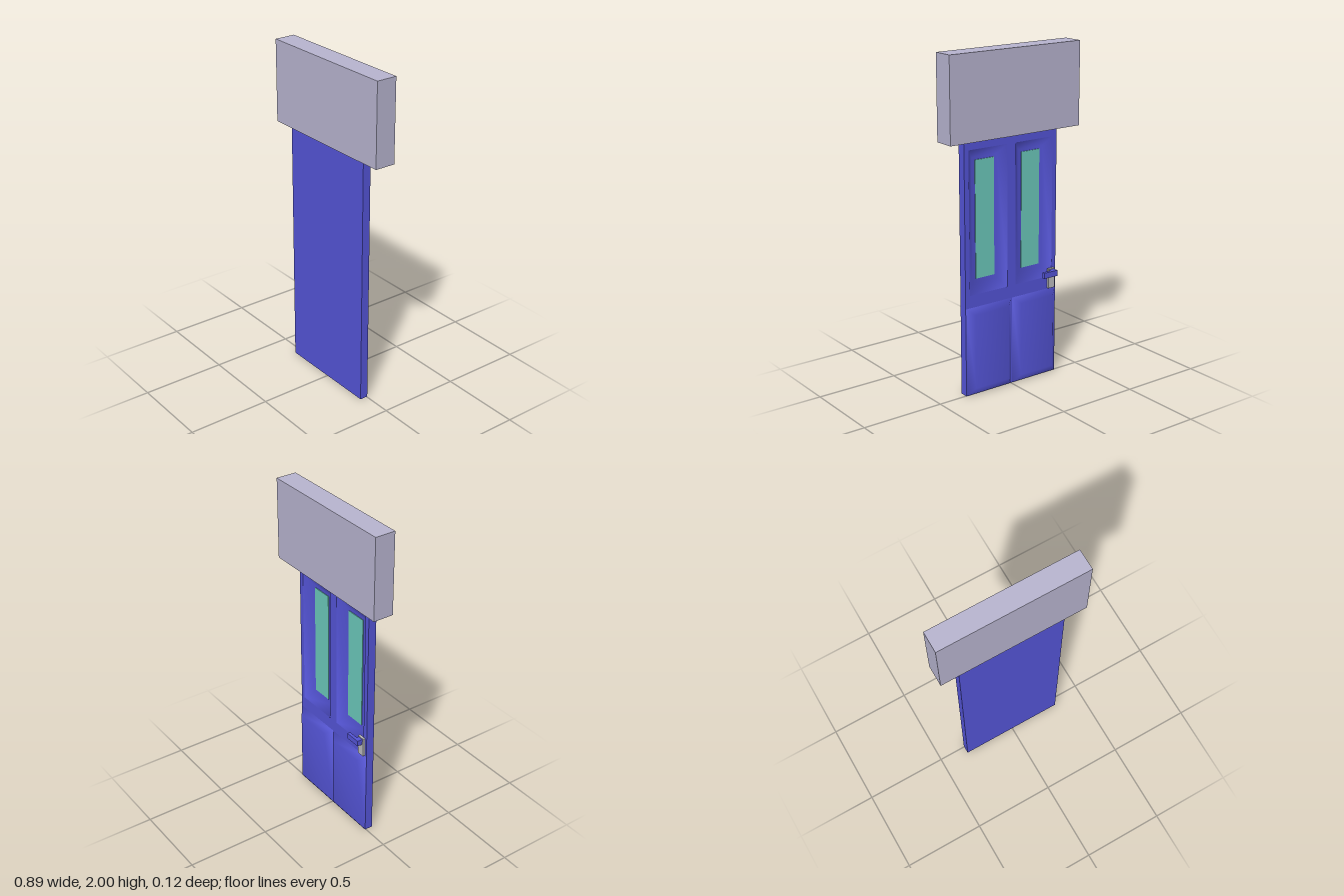
import * as THREE from 'three';

const material = (name, color) => {
  const m = new THREE.MeshStandardMaterial({ color });
  m.name = name;
  return m;
};

// Sloped border from one rectangle to another plus a flat cap, facing -z.
// Rectangles are [x0, x1, y0, y1].
function borderedPanel(outer, outerZ, inner, innerZ) {
  const corners = ([x0, x1, y0, y1], z) => [x0, y0, z, x0, y1, z, x1, y1, z, x1, y0, z];
  const index = [4, 5, 6, 4, 6, 7];
  for (let i = 0; i < 4; i++) {
    const j = (i + 1) % 4;
    index.push(i, j, j + 4, i, j + 4, i + 4);
  }
  const g = new THREE.BufferGeometry();
  g.setAttribute('position',
    new THREE.Float32BufferAttribute([...corners(outer, outerZ), ...corners(inner, innerZ)], 3));
  g.setIndex(index);
  g.computeVertexNormals();
  return g;
}

function rectangle(PathType, [x0, x1, y0, y1]) {
  const p = new PathType();
  p.moveTo(x0, y0);
  p.lineTo(x1, y0);
  p.lineTo(x1, y1);
  p.lineTo(x0, y1);
  p.closePath();
  return p;
}

export function createModel() {
  const root = new THREE.Group();
  root.name = 'doorWithHeader';
  const blue = material('blue paint', 0x5555d8);
  const grey = material('pale lilac grey', 0xb8b5d0);
  const teal = material('teal glass', 0x6ccabc);
  const metal = material('handle plate metal', 0xbcbcc0);

  const add = (name, geometry, mat, parent = root) => {
    const mesh = new THREE.Mesh(geometry, mat);
    mesh.name = name;
    parent.add(mesh);
    return mesh;
  };
  const box = (name, [x0, x1], [y0, y1], [z0, z1], mat, parent) => {
    const g = new THREE.BoxGeometry(x1 - x0, y1 - y0, z1 - z0);
    g.translate((x0 + x1) / 2, (y0 + y1) / 2, (z0 + z1) / 2);
    return add(name, g, mat, parent);
  };

  // Header block above the door
  box('header', [-0.4475, 0.4475], [1.51, 2], [-0.0625, 0.0625], grey);

  // Door: plain front sheet and a rear frame with two openings
  const door = new THREE.Group();
  door.name = 'door';
  root.add(door);
  const centre = -0.005, front = 0.045, back = -0.005, floor = 0.035;
  box('frontSheet', [-0.33, 0.32], [0, 1.5], [floor, front], blue, door);

  // Rectangle for one side, measured outward from the door centre
  const sideRect = (s, a, b, y0, y1) =>
    [Math.min(s * a, s * b) + centre, Math.max(s * a, s * b) + centre, y0, y1];

  const frame = rectangle(THREE.Shape, [-0.33, 0.32, 0, 1.5]);
  for (const s of [1, -1]) {
    const side = s > 0 ? 'left' : 'right';

    // Upper recess with sloped edges and a window
    const rim = sideRect(s, 0.03, 0.295, 0.61, 1.455);
    frame.holes.push(rectangle(THREE.Path, rim));
    add(side + 'Recess',
      borderedPanel(rim, back, sideRect(s, 0.075, 0.25, 0.665, 1.4), floor - 0.001), blue, door);
    const [x0, x1] = sideRect(s, 0.097, 0.227, 0, 0);
    box(side + 'Window', [x0, x1], [0.69, 1.385], [floor - 0.005, floor], teal, door);

    // Lower raised panel
    add(side + 'LowerPanel',
      borderedPanel(sideRect(s, 0.004, 0.323, 0.001, 0.535), back,
        sideRect(s, 0.045, 0.28, 0.05, 0.5), -0.04), blue, door);
  }
  const frameGeometry = new THREE.ExtrudeGeometry(frame, { depth: floor - back, bevelEnabled: false });
  frameGeometry.translate(0, 0, back);
  add('rearFrame', frameGeometry, blue, door);

  // Handle on the rear face
  const handle = new THREE.Group();
  handle.name = 'handle';
  root.add(handle);
  box('handlePlate', [-0.315, -0.268], [0.54, 0.66], [-0.02, back], metal, handle);
  box('handleNeck', [-0.308, -0.275], [0.62, 0.655], [-0.036, -0.02], blue, handle);
  box('handleLever', [-0.308, -0.21], [0.62, 0.655], [-0.053, -0.034], blue, handle);

  return root;
}
